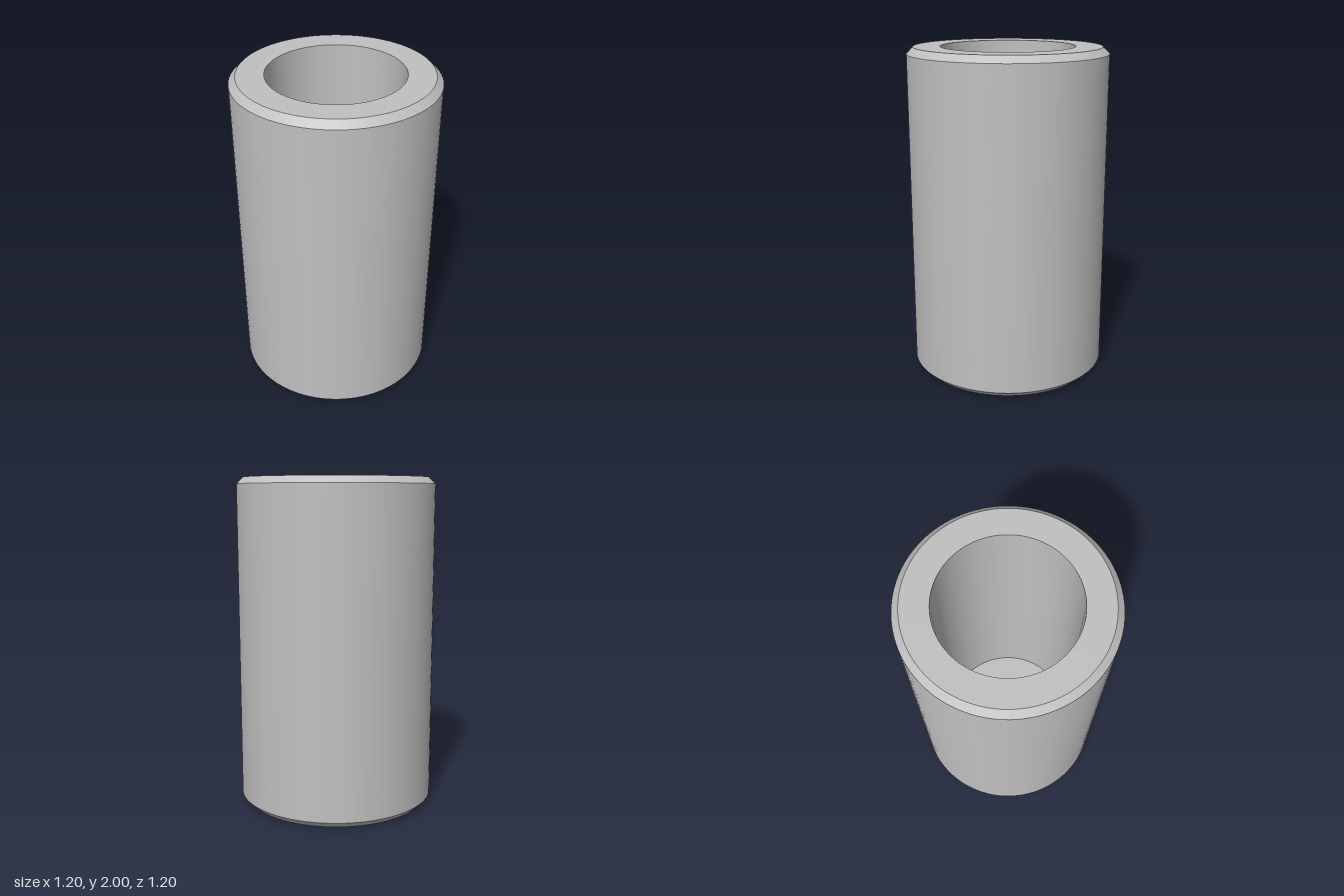
import * as THREE from 'three';
import { mergeGeometries } from 'three/addons/utils/BufferGeometryUtils.js';

const SEGMENTS = 96;

// Revolve each straight run of the profile separately so edges stay sharp
function revolve(name, profile, material) {
  const bands = [];
  for (let i = 0; i < profile.length - 1; i++) {
    const run = [profile[i], profile[i + 1]].map(([r, y]) => new THREE.Vector2(r, y));
    bands.push(new THREE.LatheGeometry(run, SEGMENTS));
  }
  const mesh = new THREE.Mesh(mergeGeometries(bands), material);
  mesh.name = name;
  return mesh;
}

export function createModel() {
  const steel = new THREE.MeshStandardMaterial({ color: 0xc0c0c0 });
  steel.name = 'steel grey';

  const radius = 0.6, height = 2, chamfer = 0.04;
  const boreRadius = 0.4, holeRadius = 0.08, floorY = 0.2;

  const group = new THREE.Group();
  group.name = 'boredCylinder';

  // Base, chamfered outer wall and top rim
  group.add(revolve('outerShell', [
    [holeRadius, 0],
    [radius - chamfer, 0],
    [radius, chamfer],
    [radius, height - chamfer],
    [radius - chamfer, height],
    [boreRadius, height],
  ], steel));

  // Wide bore, its flat floor and the small through hole
  group.add(revolve('steppedBore', [
    [boreRadius, height],
    [boreRadius, floorY],
    [holeRadius, floorY],
    [holeRadius, 0],
  ], steel));

  return group;
}
